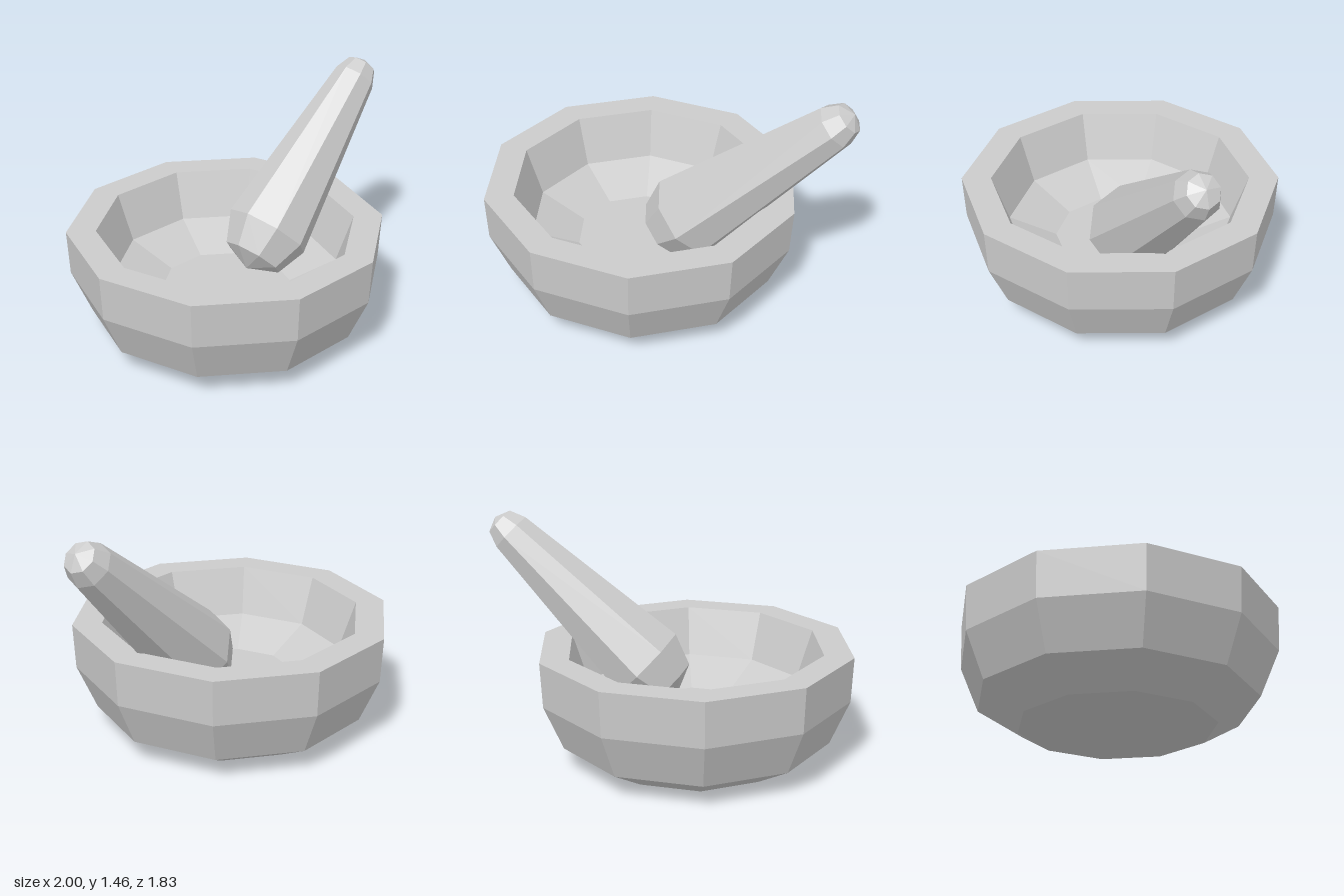
import * as THREE from 'three';

const material = new THREE.MeshStandardMaterial({ color: 0xcccccc, flatShading: true });

// Faceted solid of revolution from [radius, height] pairs
function turned(name, profile, sides, phiStart = 0) {
  const points = profile.map(([r, y]) => new THREE.Vector2(r, y));
  const mesh = new THREE.Mesh(new THREE.LatheGeometry(points, sides, phiStart), material);
  mesh.name = name;
  return mesh;
}

export function createModel() {
  const group = new THREE.Group();
  group.name = 'mortarAndPestle';

  // Ten-sided bowl: underside, outer wall, flat rim, inner wall, floor
  const bowl = turned('mortarBowl', [
    [0, 0], [0.585, 0], [0.833, 0.145], [0.95, 0.42], [0.963, 0.695],
    [0.785, 0.695], [0.685, 0.4], [0.4, 0.27], [0, 0.27],
  ], 10, Math.PI / 2);
  bowl.position.x = -0.037;
  group.add(bowl);

  // Eight-sided tapering pestle with rounded ends, leaning on the rim
  const low = new THREE.Vector3(0.24, 0.54, -0.16);
  const high = new THREE.Vector3(0.87, 1.325, -0.7);
  const length = low.distanceTo(high);
  const r = 0.268, R = 0.135, k = Math.SQRT1_2;
  const pestle = turned('pestle', [
    [0, -r], [r * k, -r * k], [r, 0],
    [R, length], [R * k, length + R * k], [0, length + R],
  ], 8);

  // One ridge of the pestle faces straight up
  const axis = high.clone().sub(low).normalize();
  const side = new THREE.Vector3().crossVectors(axis, new THREE.Vector3(0, 1, 0)).normalize();
  const ridge = new THREE.Vector3().crossVectors(side, axis);
  pestle.quaternion.setFromRotationMatrix(new THREE.Matrix4().makeBasis(side, axis, ridge));
  pestle.position.copy(low);
  group.add(pestle);

  return group;
}
